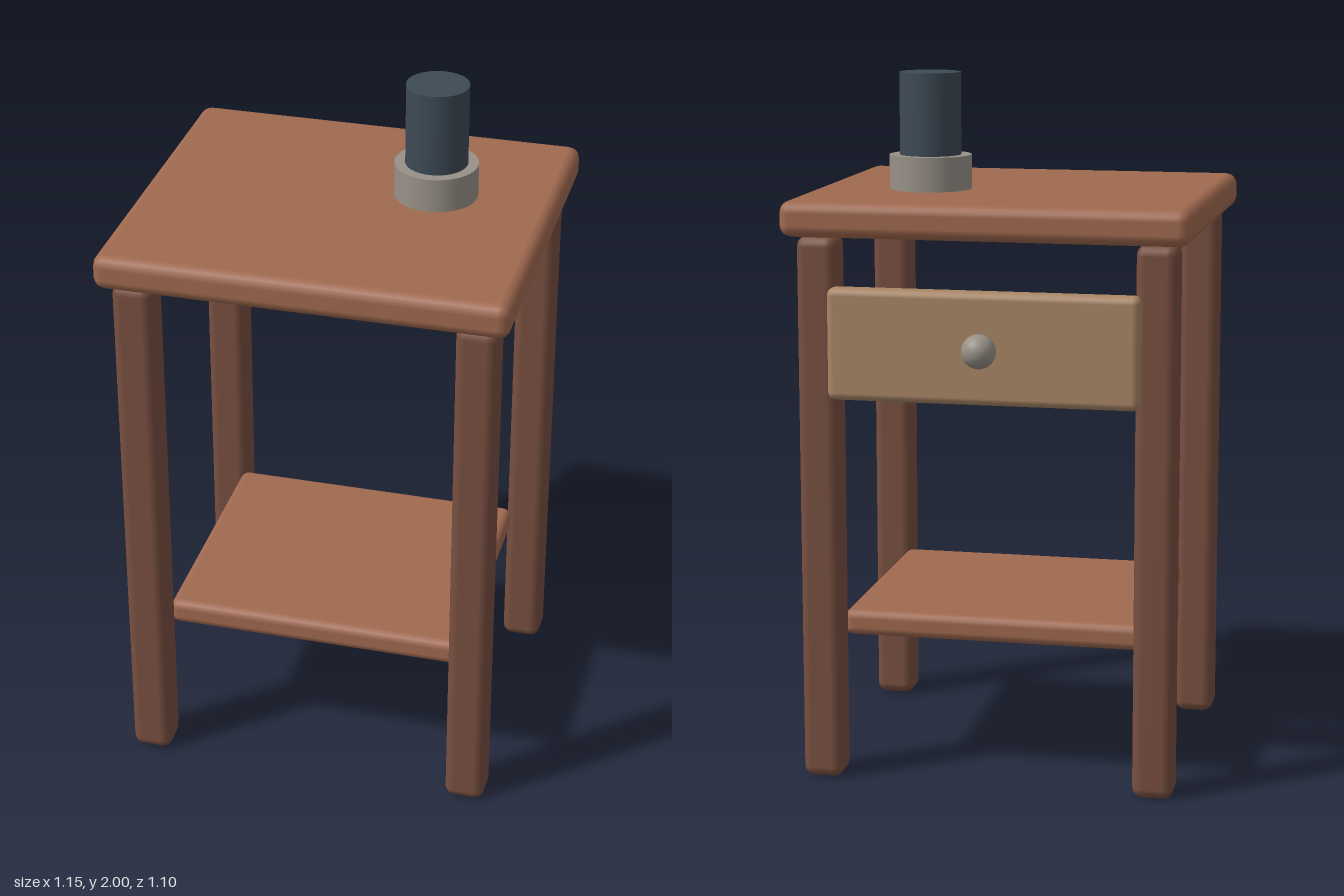
import * as THREE from 'three';
import { RoundedBoxGeometry } from 'three/addons/geometries/RoundedBoxGeometry.js';

const material = (color) => new THREE.MeshStandardMaterial({ color });

export function createModel() {
  const table = new THREE.Group();
  table.name = 'sideTable';

  const wood = material(0xa0694f);
  const legWood = material(0x784f40);
  const drawerWood = material(0xa98666);
  const metal = material(0x989188);
  const dark = material(0x3d4a55);

  const midZ = 0.034; // middle of the table; the knob projects to -z

  const add = (name, geometry, mat, x, y, z) => {
    const mesh = new THREE.Mesh(geometry, mat);
    mesh.name = name;
    mesh.position.set(x, y, z);
    table.add(mesh);
    return mesh;
  };
  const slab = (w, h, d, r) => new RoundedBoxGeometry(w, h, d, 2, r);

  // Table top and lower shelf
  add('tableTop', slab(1.147, 0.1, 1.03, 0.032), wood, 0, 1.617, midZ);
  add('shelf', slab(0.87, 0.076, 0.756, 0.025), wood, 0, 0.439, midZ);

  // Four legs
  const legGeometry = slab(0.116, 1.567, 0.116, 0.03);
  for (const [side, x] of [['Left', 0.478], ['Right', -0.478]]) {
    for (const [end, z] of [['front', 0.418], ['back', -0.418]]) {
      add(`${end}${side}Leg`, legGeometry, legWood, x, 0.7835, midZ + z);
    }
  }

  // Drawer front with its round knob
  add('drawerFront', slab(0.88, 0.316, 0.064, 0.022), drawerWood, 0, 1.272, -0.444);
  add('drawerKnob', new THREE.SphereGeometry(0.048, 32, 20), metal, 0, 1.272, -0.502);

  // Cylinder in a low round stand on the table top
  const lampX = 0.237, lampZ = -0.064;
  add('stand', new THREE.CylinderGeometry(0.118, 0.118, 0.098, 40), metal, lampX, 1.716, lampZ);
  add('standCylinder', new THREE.CylinderGeometry(0.088, 0.088, 0.24, 40), dark, lampX, 1.88, lampZ);

  return table;
}
